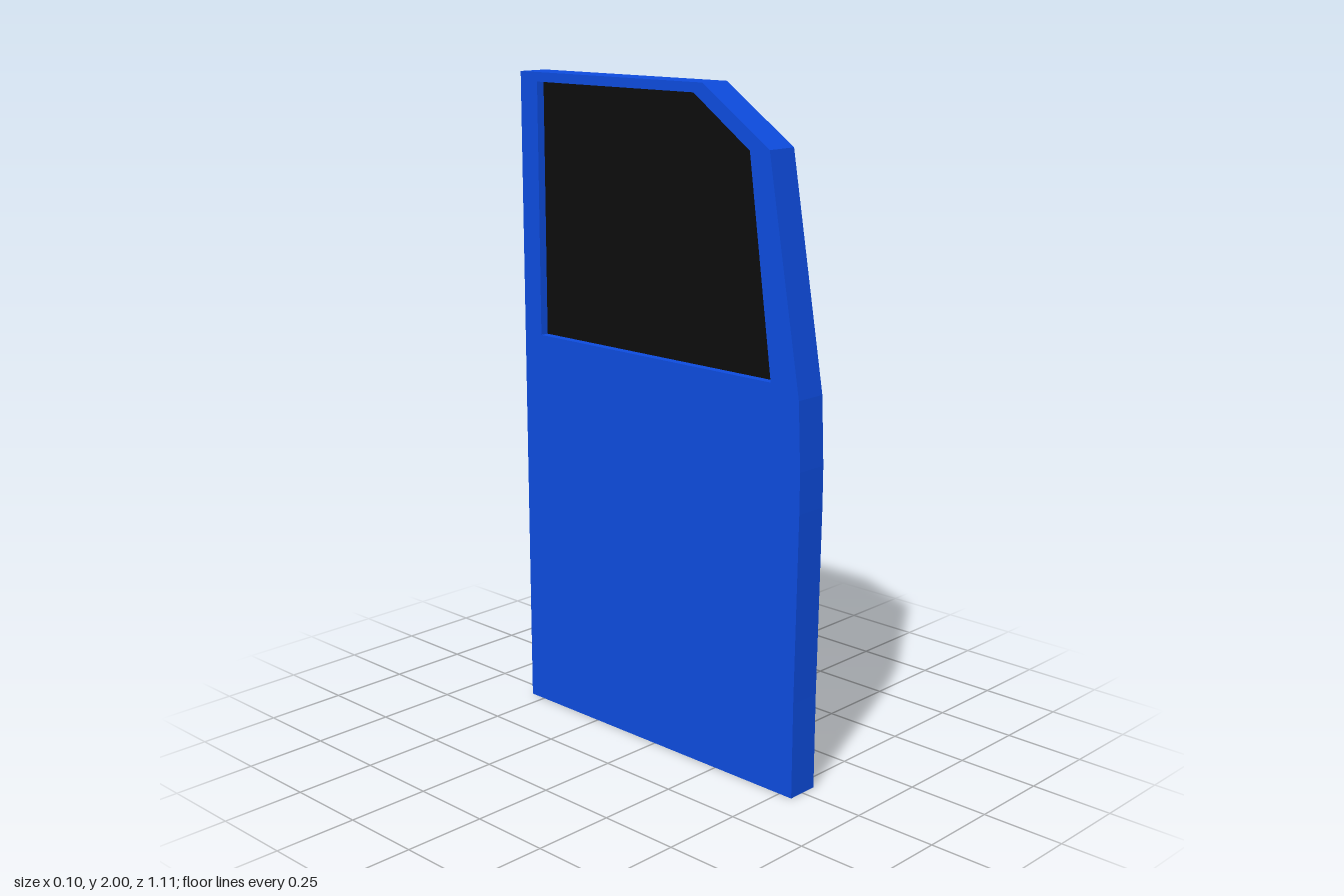
import * as THREE from 'three';

// Side profiles as [z, y] pairs, anticlockwise
const OUTLINE = [
  [-0.555, 0], [0.545, 0], [0.546, 0.29], [0.551, 0.6], [0.555, 0.85], [0.555, 0.97],
  [0.546, 1.17], [0.43, 1.835], [0.185, 2], [-0.555, 2],
];
const WINDOW = [[-0.483, 1.205], [0.445, 1.205], [0.36, 1.828], [0.152, 1.972], [-0.483, 1.972]];

const HALF = 0.05;      // half the door thickness
const RECESS = 0.028;   // depth of the window recess

const points = (list) => list.map(([z, y]) => new THREE.Vector2(z, y));

// Extrudes a side profile from x = right towards -x
function slab(profile, right, depth, hole) {
  const shape = new THREE.Shape(points(profile));
  if (hole) shape.holes.push(new THREE.Path(points(hole)));
  const geometry = new THREE.ExtrudeGeometry(shape, { depth, bevelEnabled: false });
  return geometry.rotateY(-Math.PI / 2).translate(right, 0, 0);
}

export function createModel() {
  const blue = new THREE.MeshStandardMaterial({ color: 0x0d4bdc });
  blue.name = 'blue paint';
  const black = new THREE.MeshStandardMaterial({ color: 0x0c0c0c });
  black.name = 'black glass';

  const model = new THREE.Group();
  model.name = 'door';
  const add = (name, geometry, material) => {
    const mesh = new THREE.Mesh(geometry, material);
    mesh.name = name;
    model.add(mesh);
  };

  const floor = -HALF + RECESS;
  // Solid panel on the plain side
  add('doorPanel', slab(OUTLINE, HALF, HALF - floor), blue);
  // Frame layer with the window opening
  add('windowFrame', slab(OUTLINE, floor, RECESS, WINDOW), blue);
  // Thin pane at the bottom of the recess
  add('windowPane', slab(WINDOW, floor, 0.002), black);

  return model;
}
